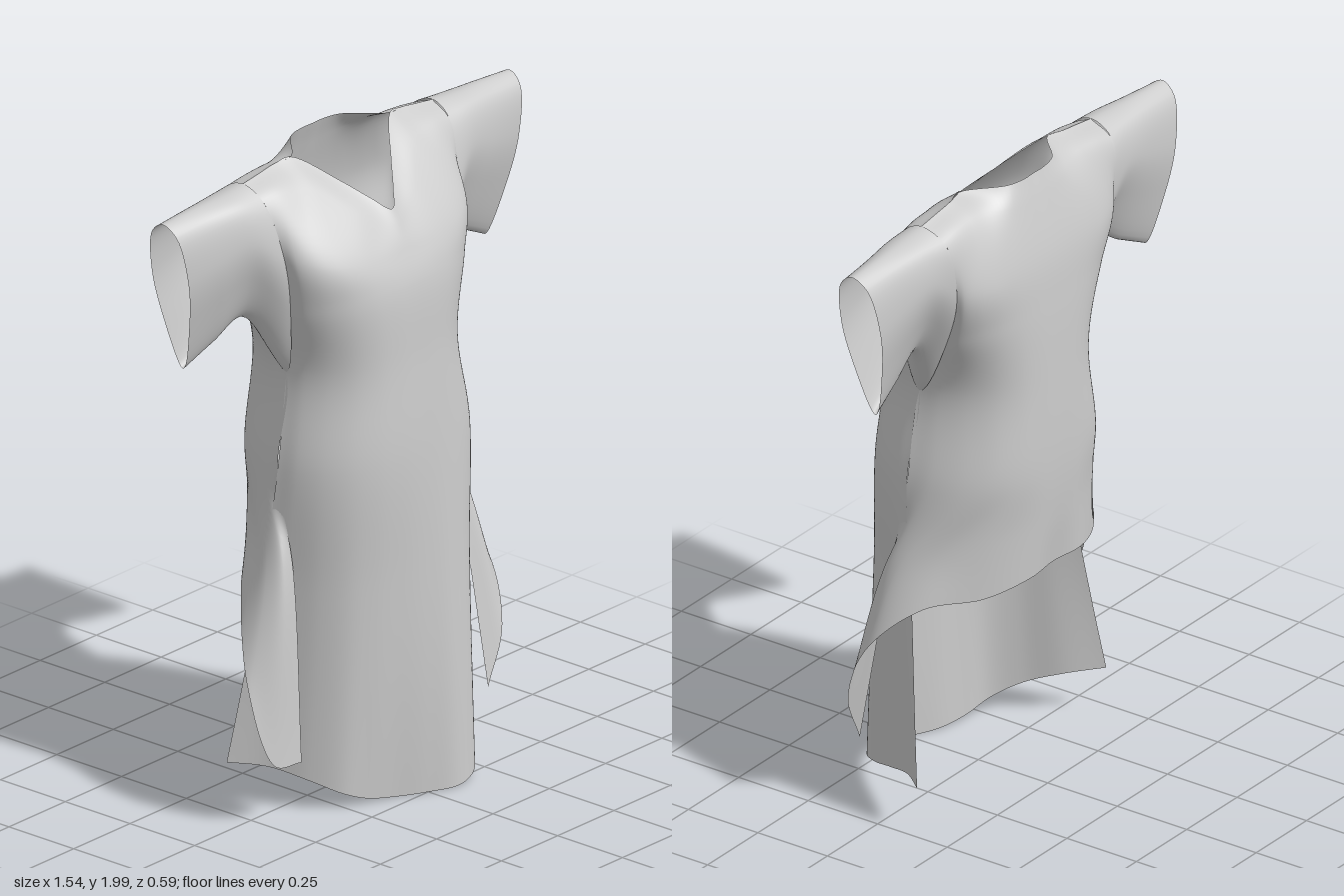
import * as THREE from 'three';
import { mergeVertices } from 'three/addons/utils/BufferGeometryUtils.js';

const cloth = new THREE.MeshStandardMaterial({ color: 0xcccccc, side: THREE.DoubleSide });

// Smooth cloth through rows of control points, splined both ways
function patch(name, rows, nu, nv, closed = false) {
  const spline = (pts, loop) => new THREE.CatmullRomCurve3(pts, loop, 'centripetal');
  const across = rows.map((r) => spline(r.map((p) => new THREE.Vector3(...p)), closed).getPoints(nu));
  const pos = [], idx = [];
  for (let i = 0; i <= nu; i++) {
    const column = spline(across.map((r) => r[i]), false).getPoints(nv);
    column.forEach((p) => pos.push(p.x, p.y, p.z));
  }
  for (let i = 0; i < nu; i++) for (let j = 0; j < nv; j++) {
    const a = i * (nv + 1) + j, b = a + nv + 1;
    idx.push(a, a + 1, b, b, a + 1, b + 1);
  }
  let g = new THREE.BufferGeometry();
  g.setAttribute('position', new THREE.Float32BufferAttribute(pos, 3));
  g.setIndex(idx);
  g = mergeVertices(g, 1e-5);
  g.computeVertexNormals();
  const mesh = new THREE.Mesh(g, cloth);
  mesh.name = name;
  return mesh;
}

const flip = ([x, y, z]) => [-x, y, z];
// Full-width row from half rows that start at the centre line
const full = (half, other = half) => [...other.slice(1).reverse().map(flip), ...half];

// Rounded half row from the centre line to a side seam; wing flares its end outward
function section(y, z, [sx, sy, sz], wing = 0) {
  return Array.from({ length: 7 }, (_, i) => {
    const s = Math.sin(i / 6 * Math.PI / 2);
    return [
      sx * s + wing * (i / 6) ** 6,
      y + (sy - y) * s ** 3,
      sz + (z - sz) * Math.max(0, 1 - s ** 3) ** 0.6,
    ];
  });
}

// Teardrop ring of a sleeve: underside, up the front, top, down the back
function sleeveRing(low, top, front, back) {
  const side = (t, depth) => {
    const p = low.map((v, i) => v + (top[i] - v) * t);
    p[2] += depth;
    return p;
  };
  return [
    low, side(0.35, front * 0.75), side(0.65, front), side(0.93, front * 0.68),
    top, side(0.93, back * 0.68), side(0.65, back), side(0.35, back * 0.75),
  ];
}

export function createModel() {
  const group = new THREE.Group();
  group.name = 'tunic';

  // Short sleeves, from armhole to cuff
  const rings = [
    sleeveRing([0.32, 1.36, -0.02], [0.42, 1.965, -0.1], 0.1, -0.13),
    sleeveRing([0.45, 1.56, -0.08], [0.51, 1.957, -0.1], 0.09, -0.1),
    sleeveRing([0.56, 1.508, -0.1], [0.64, 1.952, -0.105], 0.08, -0.08),
    sleeveRing([0.67, 1.455, -0.115], [0.77, 1.945, -0.105], 0.07, -0.07),
  ];
  group.add(patch('leftSleeve', rings, 64, 30, true));
  group.add(patch('rightSleeve', rings.map((r) => r.map(flip)), 64, 30, true));

  // Edges shared by the front and back panels
  const armhole = rings[0];
  const shoulder = [[0.22, 1.99, -0.09], [0.28, 1.985, -0.1], [0.35, 1.975, -0.1], armhole[4]];
  const slitTop = [0.37, 1.07, -0.01];

  // Front panel: V neck down to the long hem, edges swept back below the slits
  const front = [
    [[0, 1.81, 0.11], [0.05, 1.85, 0.07], [0.11, 1.905, 0.01], ...shoulder],
    [[0, 1.76, 0.14], [0.06, 1.79, 0.115], [0.13, 1.83, 0.085], [0.22, 1.91, 0.01], [0.28, 1.925, -0.01], [0.35, 1.93, -0.02], armhole[3]],
    section(1.7, 0.17, armhole[2]),
    section(1.6, 0.205, armhole[1]),
    section(1.36, 0.222, armhole[0]),
    section(1.07, 0.24, slitTop),
    section(0.7, 0.245, [0.365, 0.7, -0.05], 0.035),
    section(0.35, 0.25, [0.365, 0.37, -0.09], 0.075),
    section(0.004, 0.25, [0.37, 0.145, -0.12], 0.1),
  ].map((half) => full(half));
  // One soft fold grows toward the hem
  for (const row of front) for (const p of row) {
    const fall = Math.max(0, 1.07 - p[1]) / 1.07;
    if (Math.abs(p[0]) < 0.3) p[2] += 0.05 * fall * Math.sin(p[0] * Math.PI / 0.3);
  }
  group.add(patch('frontPanel', front, 96, 80));

  // Back panel: shorter hem, its corners hanging as flaps curled to the front
  const back = [
    [[0, 1.995, -0.2], [0.05, 1.995, -0.2], [0.11, 1.995, -0.185], ...shoulder],
    [[0, 1.92, -0.225], [0.06, 1.92, -0.225], [0.13, 1.93, -0.215], [0.22, 1.94, -0.185], [0.28, 1.94, -0.18], [0.35, 1.935, -0.18], armhole[5]],
    section(1.75, -0.27, armhole[6]),
    section(1.6, -0.285, armhole[7]),
    section(1.36, -0.295, armhole[0]),
    section(1.07, -0.3, slitTop),
    [[0, 0.9, -0.29], [0.11, 0.9, -0.285], [0.25, 0.88, -0.23], [0.36, 0.84, -0.12], [0.415, 0.82, -0.02], [0.41, 0.8, 0.04], [0.37, 0.77, 0.05]],
  ].map((half) => full(half));
  const hem = [[0, 0.74, -0.27], [0.12, 0.735, -0.275], [0.27, 0.71, -0.215]];
  back.push(full(
    [...hem, [0.41, 0.7, -0.1], [0.49, 0.57, 0.04], [0.455, 0.36, 0.14], [0.375, 0.19, 0.155]],
    [...hem, [0.43, 0.68, -0.1], [0.54, 0.45, 0.02], [0.5, 0.2, 0.09], [0.39, 0.18, 0.1]],
  ));
  group.add(patch('backPanel', back, 96, 72));
  return group;
}
